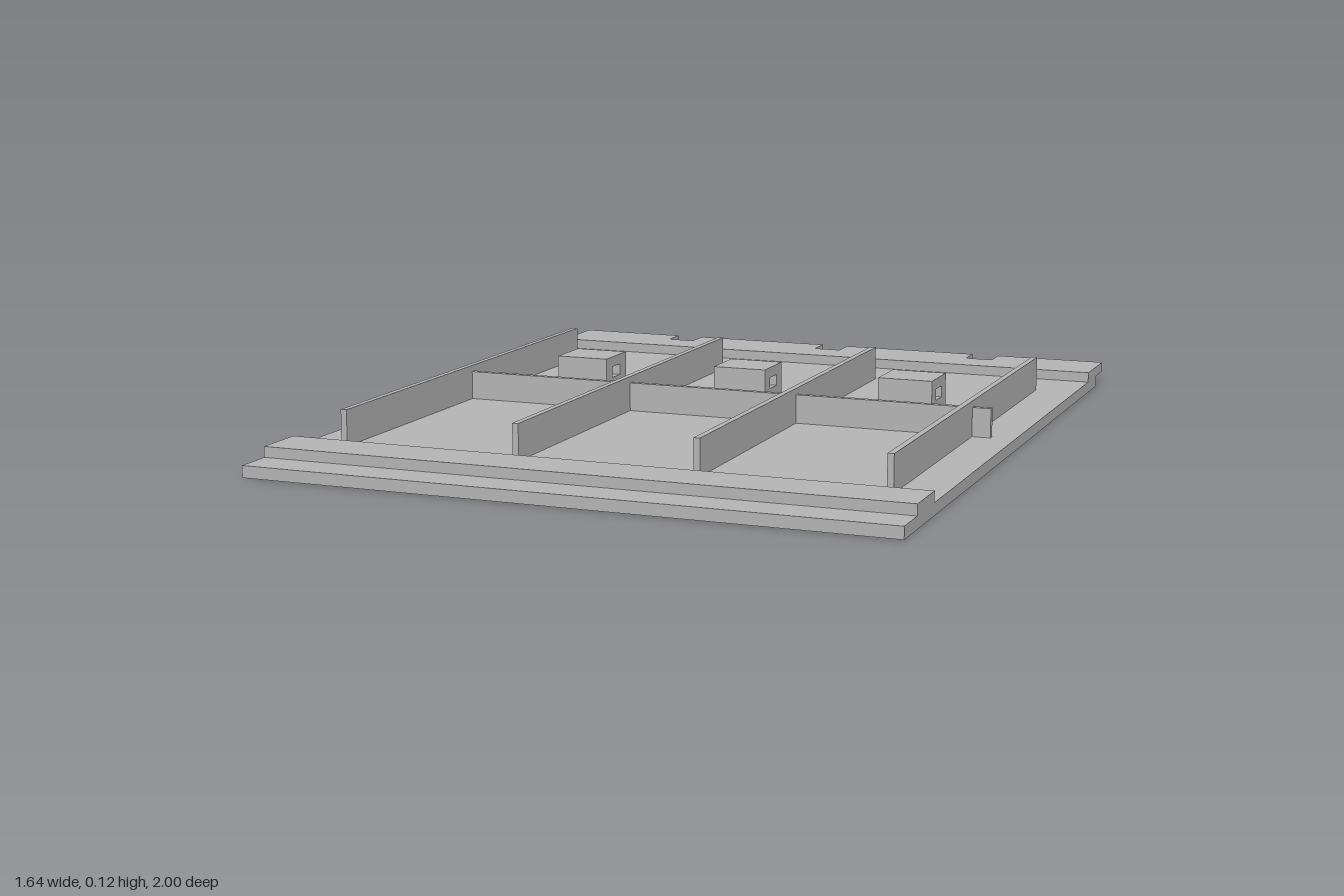
import * as THREE from 'three';

export function createModel() {
  const group = new THREE.Group();
  const grey = new THREE.MeshStandardMaterial({ color: 0xb3b3b3 });
  grey.name = 'light grey';

  const add = (name, geometry) => {
    const mesh = new THREE.Mesh(geometry, grey);
    mesh.name = name;
    group.add(mesh);
    return mesh;
  };

  // Box given by its lower and upper limits on each axis
  const box = (name, x0, x1, y0, y1, z0, z1) => {
    const mesh = add(name, new THREE.BoxGeometry(x1 - x0, y1 - y0, z1 - z0));
    mesh.position.set((x0 + x1) / 2, (y0 + y1) / 2, (z0 + z1) / 2);
  };

  const W = 0.82, floor = 0.03, step = 0.057, ribTop = 0.122;

  // Base plate and raised front strip
  box('basePlate', -W, W, 0, floor, -0.922, 1);
  box('frontStrip', -W, W, floor, step, 0.768, 0.902);

  // Overhanging rear strip with three notches, drawn in x and -z
  const strip = new THREE.Shape();
  strip.moveTo(-W, 0.815);
  strip.lineTo(W, 0.815);
  strip.lineTo(W, 1);
  for (const x of [0.47, 0, -0.475]) {
    strip.lineTo(x + 0.039, 1);
    strip.lineTo(x + 0.039, 0.926);
    strip.lineTo(x - 0.039, 0.926);
    strip.lineTo(x - 0.039, 1);
  }
  strip.lineTo(-W, 1);
  strip.closePath();
  const stripGeometry = new THREE.ExtrudeGeometry(strip, { depth: step - floor, bevelEnabled: false });
  stripGeometry.rotateX(-Math.PI / 2);
  add('notchedRearStrip', stripGeometry).position.y = floor;

  // Long ribs and the lower cross rib
  for (const x of [-0.706, -0.236, 0.232, 0.702]) {
    box('longRib', x - 0.008, x + 0.008, floor, ribTop, -0.645, 0.717);
  }
  box('crossRib', -0.758, 0.758, floor, 0.105, 0.027, 0.043);

  // Lug blocks with a rectangular slot running along x
  const depth = 0.148, halfZ = 0.067, height = ribTop - floor;
  const lug = new THREE.Shape();
  lug.moveTo(-halfZ, 0);
  lug.lineTo(halfZ, 0);
  lug.lineTo(halfZ, height);
  lug.lineTo(-halfZ, height);
  lug.closePath();
  const slot = new THREE.Path();
  slot.moveTo(-0.026, 0.034);
  slot.lineTo(-0.026, 0.064);
  slot.lineTo(0.026, 0.064);
  slot.lineTo(0.026, 0.034);
  slot.closePath();
  lug.holes.push(slot);
  const lugGeometry = new THREE.ExtrudeGeometry(lug, { depth, bevelEnabled: false });
  lugGeometry.translate(0, 0, -depth / 2).rotateY(Math.PI / 2);
  for (const x of [-0.47, -0.002, 0.466]) {
    add('slottedLug', lugGeometry).position.set(x, floor, -0.248);
  }

  return group;
}
